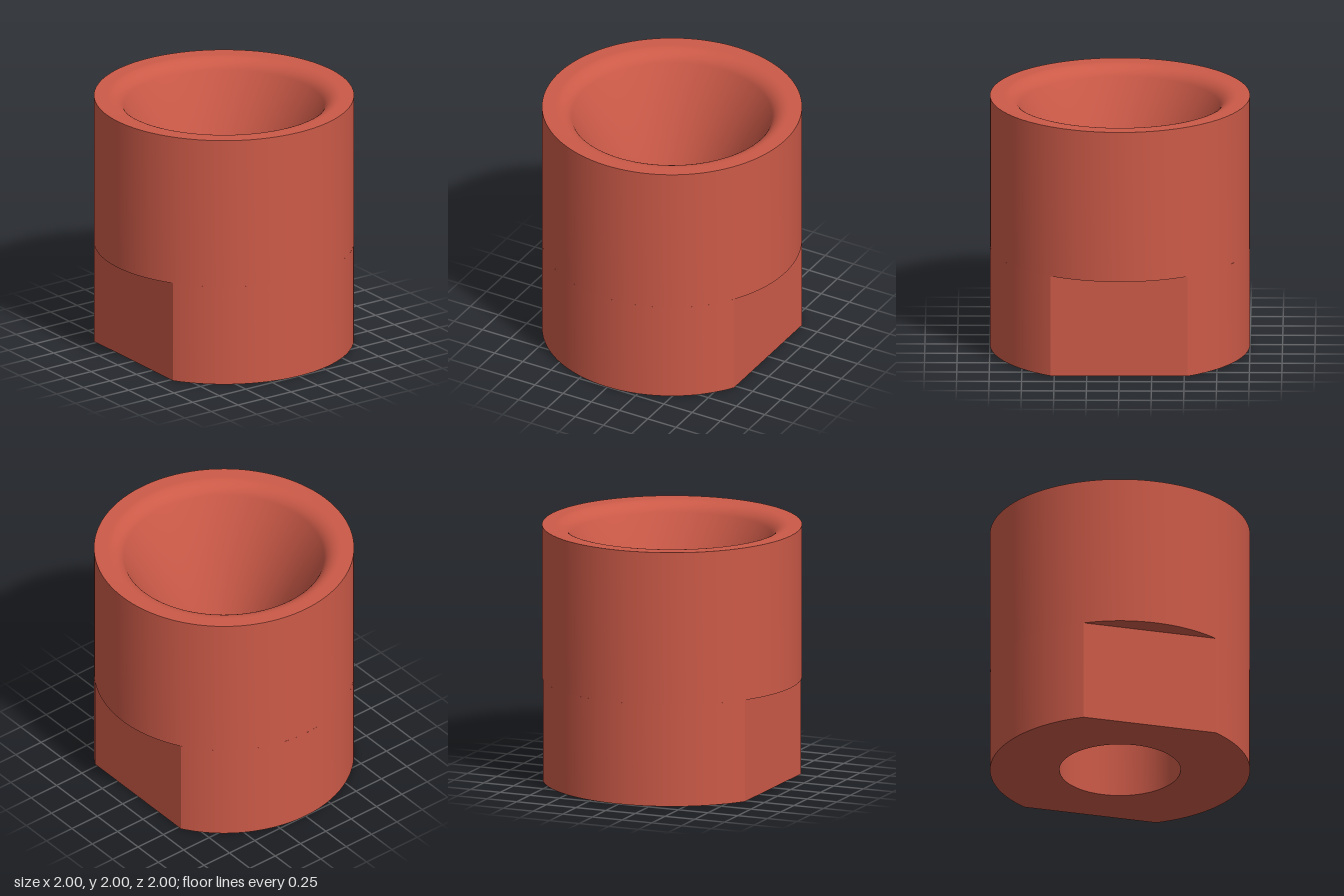
import * as THREE from 'three';
import { toCreasedNormals } from 'three/addons/utils/BufferGeometryUtils.js';

const RADIUS = 1, HEIGHT = 2, FLAT_X = 0.85, FLAT_TOP = 0.8;
const BORE = 0.466, BORE_TOP = 0.6, THROAT = 0.226, THROAT_TOP = 0.75;
const LIP_START = 0.9, LIP_RADIUS = 0.143, CONE_ANGLE = THREE.MathUtils.degToRad(65);

export function createModel() {
  const group = new THREE.Group();
  const red = new THREE.MeshStandardMaterial({ color: 0xcc5a48 });
  red.name = 'terracotta red';

  const add = (name, geometry) => {
    const mesh = new THREE.Mesh(toCreasedNormals(geometry, 0.5), red);
    mesh.name = name;
    group.add(mesh);
  };

  // Upper body: ledge, outer wall, rounded lip, funnel, throat and bore ceiling
  const profile = [[BORE, FLAT_TOP], [RADIUS, FLAT_TOP], [RADIUS, HEIGHT]];
  for (let i = 0; i <= 10; i++) {
    const a = (CONE_ANGLE * i) / 10;
    profile.push([LIP_START - LIP_RADIUS * Math.sin(a), HEIGHT - LIP_RADIUS * (1 - Math.cos(a))]);
  }
  profile.push([THROAT, THROAT_TOP], [THROAT, BORE_TOP], [BORE, BORE_TOP]);
  add('funnelBody', new THREE.LatheGeometry(profile.map(([r, y]) => new THREE.Vector2(r, y)), 128));

  // Lower body: round with two wrench flats and a straight bore
  const a = Math.acos(FLAT_X / RADIUS);
  const outline = new THREE.Shape();
  outline.absarc(0, 0, RADIUS, a, Math.PI - a, false);
  outline.absarc(0, 0, RADIUS, Math.PI + a, 2 * Math.PI - a, false);
  outline.closePath();
  const hole = new THREE.Path();
  hole.absarc(0, 0, BORE, 0, 2 * Math.PI, true);
  outline.holes.push(hole);
  const base = new THREE.ExtrudeGeometry(outline, { depth: FLAT_TOP, bevelEnabled: false, curveSegments: 48 });
  base.rotateX(-Math.PI / 2);
  add('flattedBase', base);

  return group;
}
